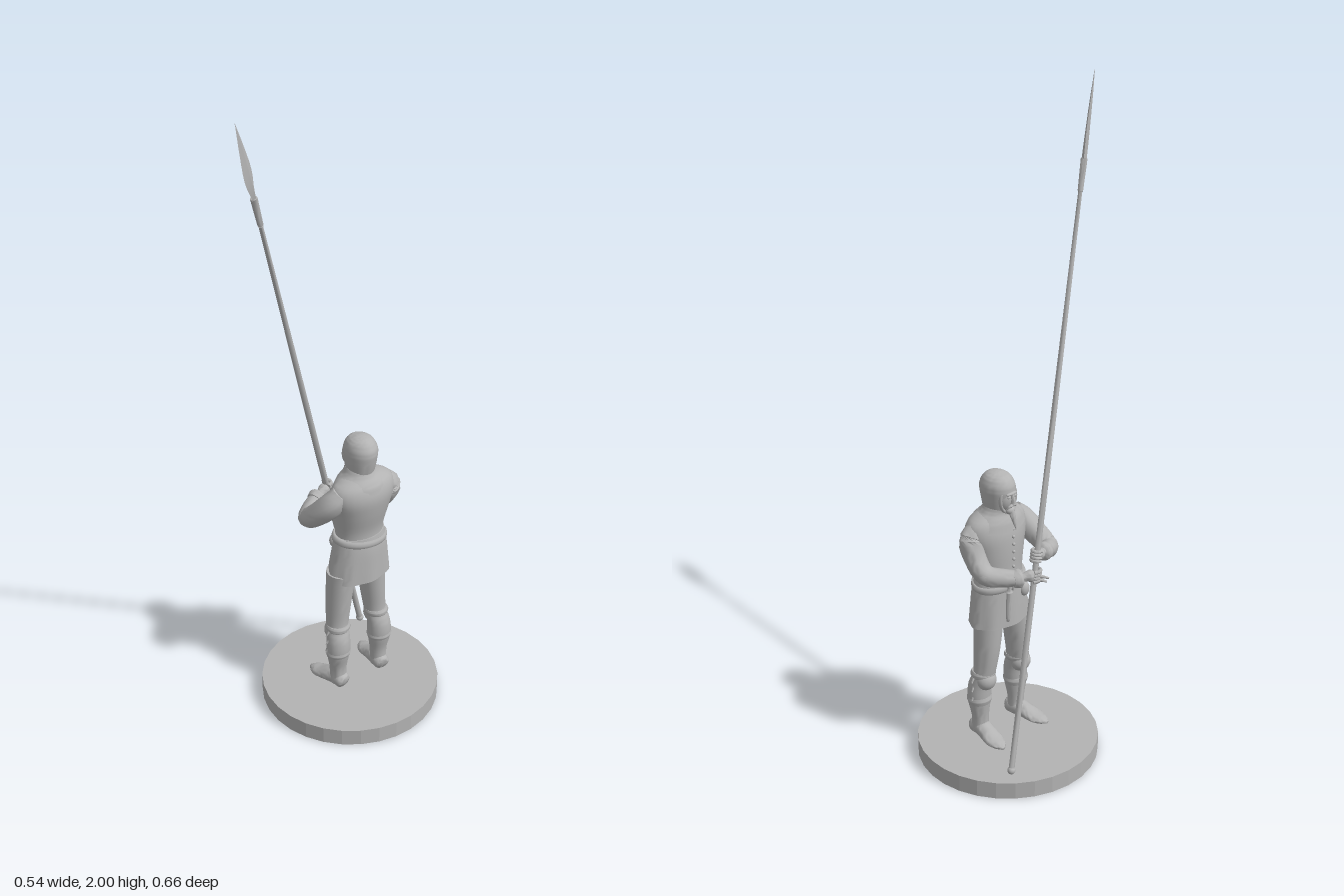
import * as THREE from 'three';
import { toCreasedNormals } from 'three/addons/utils/BufferGeometryUtils.js';

const grey = new THREE.MeshStandardMaterial({ color: 0xb3b3b3 });
grey.name = 'plain grey';
const V = (x, y, z) => new THREE.Vector3(x, y, z);

// Smooth closed body swept through sections [x, y, z, radiusU, radiusV = radiusU].
// level keeps the rings horizontal (u = x, v = z); ref gives the u direction otherwise.
function sweep(sections, { level = false, ref = V(0, 1, 0), sides = 20, steps = 4, folds = 0, depth = 0, crease = 0.9 } = {}) {
  const centre = new THREE.CatmullRomCurve3(sections.map(s => V(s[0], s[1], s[2])), false, 'catmullrom');
  const radius = new THREE.CatmullRomCurve3(sections.map(s => V(s[3], s[4] ?? s[3], 0)), false, 'catmullrom');
  const rings = (sections.length - 1) * steps;
  const pos = [], index = [];
  for (let i = 0; i <= rings; i++) {
    const t = i / rings, c = centre.getPoint(t), r = radius.getPoint(t);
    const dir = level ? V(0, 1, 0) : centre.getTangent(t);
    const u = level ? V(1, 0, 0) : ref.clone().addScaledVector(dir, -ref.dot(dir)).normalize();
    const v = dir.clone().cross(u);
    for (let j = 0; j < sides; j++) {
      const a = j / sides * Math.PI * 2;
      const k = 1 + depth * (1 - t) * Math.cos(folds * a);
      const p = c.clone().addScaledVector(u, Math.max(r.x, 0.0004) * k * Math.cos(a))
        .addScaledVector(v, Math.max(r.y, 0.0004) * k * Math.sin(a));
      pos.push(p.x, p.y, p.z);
    }
  }
  for (let i = 0; i < rings; i++) for (let j = 0; j < sides; j++) {
    const a = i * sides + j, b = i * sides + (j + 1) % sides;
    index.push(a, b, b + sides, a, b + sides, a + sides);
  }
  const n = (rings + 1) * sides, first = sections[0], last = sections[sections.length - 1];
  pos.push(first[0], first[1], first[2], last[0], last[1], last[2]);
  for (let j = 0; j < sides; j++) {
    const k = (j + 1) % sides, top = rings * sides;
    index.push(n, k, j, n + 1, top + j, top + k);
  }
  const g = new THREE.BufferGeometry();
  g.setAttribute('position', new THREE.Float32BufferAttribute(pos, 3));
  g.setIndex(index);
  return toCreasedNormals(g, crease);
}

export function createModel() {
  const model = new THREE.Group();
  const add = (name, geometry, parent = model) => {
    const m = new THREE.Mesh(geometry, grey);
    m.name = name;
    parent.add(m);
    return m;
  };
  const ball = (name, x, y, z, rx, ry, rz, parent = model) => {
    const m = add(name, new THREE.SphereGeometry(1, 18, 12), parent);
    m.position.set(x, y, z);
    m.scale.set(rx, ry, rz);
    return m;
  };
  const group = name => {
    const g = new THREE.Group();
    g.name = name;
    model.add(g);
    return g;
  };

  // Round base
  const base = new THREE.CylinderGeometry(0.272, 0.272, 0.053, 30);
  add('base', toCreasedNormals(base, 0.1)).position.set(0, 0.0265, -0.06);

  // Long leaning spear
  const spear = group('spear');
  const spearAt = y => {
    const t = (y - 0.08) / 1.92;
    return [-0.177 + 0.21 * t, y, -0.233 + 0.562 * t];
  };
  add('shaft', sweep([[...spearAt(0.08), 0.009], [...spearAt(0.9), 0.009], [...spearAt(1.7), 0.006]], { sides: 8 }), spear);
  ball('butt', ...spearAt(0.082), 0.012, 0.012, 0.012, spear);
  add('socket', sweep([[...spearAt(1.68), 0.008], [...spearAt(1.77), 0.01]], { sides: 8 }), spear);
  add('blade', sweep([
    [...spearAt(1.73), 0.006, 0.006], [...spearAt(1.78), 0.012, 0.007], [...spearAt(1.84), 0.026, 0.006],
    [...spearAt(1.92), 0.016, 0.004], [...spearAt(2), 0.0005, 0.0005],
  ], { ref: V(0.55, 0, 0.83), sides: 4, steps: 3, crease: 0.4 }), spear);

  // Tunic: chest, belt and skirt
  add('chest', sweep([
    [0.018, 0.56, -0.078, 0.062, 0.078], [0.018, 0.62, -0.078, 0.058, 0.078], [0.025, 0.69, -0.078, 0.066, 0.092],
    [0.03, 0.745, -0.078, 0.068, 0.106], [0.03, 0.785, -0.078, 0.058, 0.096], [0.025, 0.81, -0.078, 0.042, 0.05],
  ], { level: true, sides: 28 }));
  add('skirt', sweep([
    [0.02, 0.455, -0.075, 0.07, 0.104], [0.02, 0.5, -0.076, 0.068, 0.098],
    [0.02, 0.56, -0.078, 0.065, 0.088], [0.018, 0.605, -0.078, 0.06, 0.08],
  ], { level: true, sides: 48, folds: 8, depth: 0.025 }));
  const belt = add('belt', new THREE.TorusGeometry(1, 0.09, 8, 40));
  belt.rotation.set(Math.PI / 2 - 0.12, 0, 0);
  belt.scale.set(0.063, 0.083, 0.13);
  belt.position.set(0.019, 0.585, -0.078);
  const buckle = add('buckle', new THREE.BoxGeometry(0.01, 0.026, 0.024));
  buckle.position.set(-0.048, 0.585, -0.078);
  for (let i = 0; i < 7; i++) {
    const y = 0.62 + i * 0.024;
    ball('button', -0.04 - 0.003 * Math.sin(i / 6 * Math.PI), y, -0.078, 0.005, 0.005, 0.005);
  }

  // Dagger and pouch hanging from the belt
  add('scabbard', sweep([[-0.052, 0.48, -0.112, 0.003], [-0.052, 0.49, -0.112, 0.006], [-0.052, 0.575, -0.108, 0.008]], { level: true, sides: 10 }));
  add('daggerGrip', sweep([[-0.052, 0.575, -0.108, 0.011], [-0.053, 0.585, -0.107, 0.006], [-0.055, 0.615, -0.106, 0.006], [-0.055, 0.622, -0.106, 0.009]], { level: true, sides: 10 }));
  ball('pouch', -0.04, 0.55, -0.03, 0.013, 0.022, 0.017);

  // Hooded head with open face
  const head = group('head');
  add('hoodCape', sweep([
    [0.026, 0.762, -0.078, 0.07, 0.094], [0.025, 0.79, -0.078, 0.063, 0.078],
    [0.02, 0.812, -0.078, 0.048, 0.052], [0.016, 0.83, -0.078, 0.044, 0.042],
  ], { level: true, sides: 28 }), head);
  add('hood', sweep([
    [0.018, 0.8, -0.078, 0.04, 0.04], [0.018, 0.825, -0.079, 0.047, 0.042], [0.018, 0.86, -0.08, 0.054, 0.046],
    [0.018, 0.89, -0.081, 0.056, 0.047], [0.018, 0.915, -0.081, 0.043, 0.037], [0.02, 0.927, -0.081, 0.024, 0.02], [0.02, 0.931, -0.081, 0.001, 0.001],
  ], { level: true, sides: 28, crease: 1.4 }), head);
  const rim = add('hoodRim', new THREE.TorusGeometry(1, 0.13, 8, 30), head);
  rim.rotation.y = Math.PI / 2;
  rim.scale.set(0.031, 0.043, 0.05);
  rim.position.set(-0.022, 0.858, -0.08);
  ball('face', -0.014, 0.856, -0.08, 0.027, 0.041, 0.03, head);
  ball('brow', -0.036, 0.877, -0.08, 0.008, 0.005, 0.021, head);
  ball('chin', -0.03, 0.823, -0.08, 0.014, 0.013, 0.016, head);
  add('nose', sweep([[-0.043, 0.848, -0.08, 0.009, 0.008], [-0.043, 0.858, -0.08, 0.007, 0.006], [-0.038, 0.88, -0.08, 0.004, 0.004]], { level: true, sides: 10 }), head);
  for (const s of [-1, 1]) {
    ball('eye', -0.038, 0.868, -0.08 + s * 0.012, 0.004, 0.004, 0.006, head);
    add('moustache', sweep([[-0.041, 0.842, -0.08, 0.004], [-0.039, 0.838, -0.08 + s * 0.012, 0.004], [-0.034, 0.83, -0.08 + s * 0.019, 0.001]], { sides: 8 }), head);
  }
  add('beard', sweep([[-0.054, 0.768, -0.08, 0.001], [-0.049, 0.785, -0.08, 0.005], [-0.04, 0.81, -0.08, 0.009], [-0.034, 0.828, -0.08, 0.009]], { level: true, sides: 10 }), head);

  // Legs: s = 1 is the leg towards +z, -1 the other
  for (const s of [1, -1]) {
    const leg = group(s > 0 ? 'rearLeg' : 'frontLeg');
    const z = d => -0.066 + s * d;
    add('thighAndShin', sweep([
      [0.035, 0.085, z(0.077), 0.026, 0.025], [0.034, 0.14, z(0.077), 0.025, 0.027], [0.037, 0.2, z(0.078), 0.034, 0.037],
      [0.034, 0.25, z(0.076), 0.034, 0.036], [0.022, 0.29, z(0.071), 0.033, 0.034],
      [0.018, 0.37, z(0.064), 0.041, 0.038], [0.018, 0.48, z(0.054), 0.046, 0.044],
    ], { level: true }), leg);
    ball('kneePad', 0.014, 0.268, z(0.074), 0.032, 0.034, 0.033, leg);
    add('kneeBand', sweep([[0.027, 0.278, z(0.073), 0.034, 0.035], [0.026, 0.286, z(0.072), 0.038, 0.038], [0.025, 0.296, z(0.071), 0.034, 0.035]], { level: true }), leg);
    add('bootCuff', sweep([[0.035, 0.185, z(0.078), 0.032, 0.035], [0.036, 0.2, z(0.078), 0.037, 0.039], [0.036, 0.21, z(0.078), 0.034, 0.036]], { level: true }), leg);
    // Loose strap ends on the outside of the knee
    for (let i = 0; i < 3; i++) {
      const y = 0.22 + i * 0.03;
      add('strapEnd', sweep([[0.03, y, z(0.108), 0.004], [0.028, y - 0.014, z(0.118), 0.002]], { ref: V(1, 0, 0), sides: 6 }), leg);
    }
    add('boot', sweep([
      [0.066, 0.092, z(0.074), 0.012, 0.014], [0.058, 0.094, z(0.075), 0.023, 0.024], [0.03, 0.097, z(0.077), 0.027, 0.026],
      [0, 0.092, z(0.083), 0.022, 0.028], [-0.035, 0.083, z(0.089), 0.014, 0.03], [-0.062, 0.079, z(0.093), 0.01, 0.021], [-0.08, 0.076, z(0.096), 0.004, 0.005],
    ]), leg);
  }

  // Arms, both hands on the spear; points run from shoulder to wrist
  const arms = [
    { name: 'upperHandArm', elbow: [-0.052, 0.662, 0.058], wrist: [-0.095, 0.685, -0.012], grip: 0.695,
      path: [[0.035, 0.77, 0.002, 0.028], [0.022, 0.735, 0.026, 0.037], [-0.015, 0.69, 0.05, 0.034],
        [-0.052, 0.662, 0.056, 0.03], [-0.078, 0.672, 0.025, 0.026], [-0.095, 0.685, -0.012, 0.021]] },
    { name: 'lowerHandArm', elbow: [-0.025, 0.648, -0.178], wrist: [-0.095, 0.637, -0.105], grip: 0.64,
      path: [[0.035, 0.77, -0.15, 0.028], [0.034, 0.735, -0.172, 0.036], [0.01, 0.685, -0.178, 0.032],
        [-0.025, 0.648, -0.176, 0.03], [-0.062, 0.64, -0.145, 0.027], [-0.095, 0.637, -0.105, 0.022]] },
  ];
  for (const { name, elbow, wrist, grip, path } of arms) {
    const arm = group(name);
    add('sleeve', sweep(path, { ref: V(0.1, 1, 0.2), folds: 5, depth: 0.04 }), arm);
    ball('elbowPad', ...elbow, 0.029, 0.029, 0.029, arm);
    const w = V(...wrist), hand = V(...spearAt(grip));
    const along = hand.clone().sub(w).normalize();
    const at = (d, r) => [...w.clone().addScaledVector(along, d).toArray(), r];
    add('cuff', sweep([at(-0.022, 0.025), at(-0.004, 0.028), at(0.004, 0.022)]), arm);
    add('palm', sweep([at(-0.005, 0.013), at(0.012, 0.013), at(w.distanceTo(hand) - 0.012, 0.018), at(w.distanceTo(hand) + 0.004, 0.01)]), arm);
    // Fingers curl round the far side of the shaft
    for (let i = 0; i < 4; i++) {
      const c = V(...spearAt(grip - 0.014 + i * 0.009));
      const side = V(along.z, 0, -along.x).normalize();
      const curl = [];
      for (let k = 0; k < 5; k++) {
        const a = -0.4 + k * 0.85;
        const p = c.clone().addScaledVector(side, -Math.cos(a) * 0.015).addScaledVector(along, Math.sin(a) * 0.016);
        curl.push([p.x, p.y, p.z, 0.0062 - k * 0.0006]);
      }
      add('finger', sweep(curl, { sides: 8, steps: 3 }), arm);
    }
  }
  // Outstretched fingers of the lower hand
  for (let i = 0; i < 2; i++) {
    add('pointingFinger', sweep([[-0.112, 0.645 - i * 0.014, -0.085, 0.007], [-0.13, 0.64 - i * 0.012, -0.066, 0.006], [-0.146, 0.63 - i * 0.008, -0.042 - i * 0.008, 0.003]], { sides: 8 }));
  }
  return model;
}
